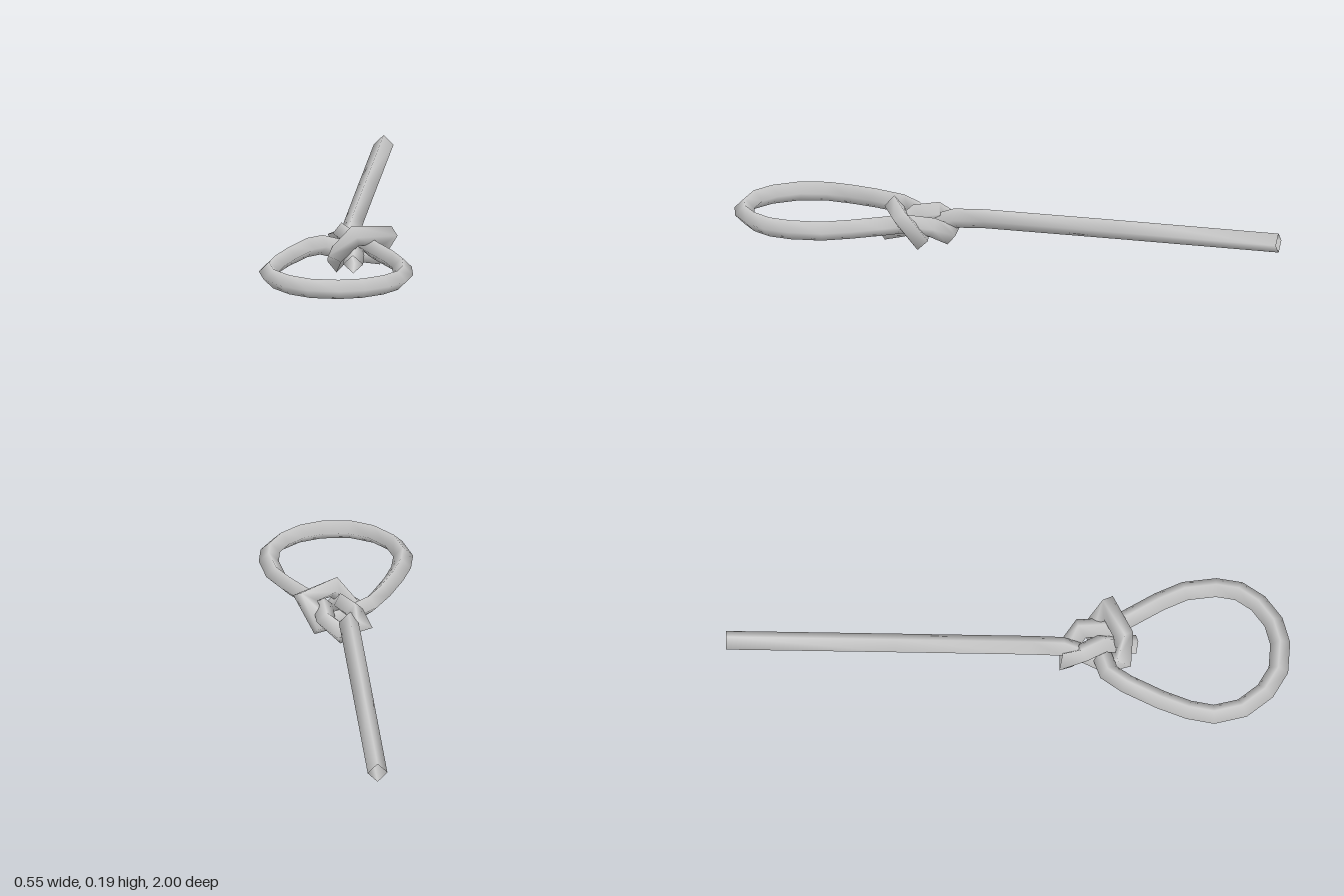
import * as THREE from 'three';

const RADIUS = 0.035;
const SIDES = 4;

// Sweeps a diamond section along a polyline, with mitred corners and open ends.
function ropeGeometry(points) {
  const up = new THREE.Vector3(0, 1, 0);
  const positions = [], indices = [];
  points.forEach((p, i) => {
    const before = points[Math.max(i - 1, 0)], after = points[Math.min(i + 1, points.length - 1)];
    const dirOut = (i < points.length - 1 ? after.clone().sub(p) : p.clone().sub(before)).normalize();
    const dirIn = (i > 0 ? p.clone().sub(before) : dirOut.clone()).normalize();
    const tangent = dirIn.clone().add(dirOut).normalize();
    const side = new THREE.Vector3().crossVectors(up, tangent).normalize();
    const top = new THREE.Vector3().crossVectors(tangent, side);
    const bend = dirOut.clone().sub(dirIn).normalize();
    const stretch = Math.min(1 / Math.max(tangent.dot(dirIn), 0.1), 1.4) - 1;
    for (let k = 0; k < SIDES; k++) {
      const a = (k / SIDES) * Math.PI * 2;
      const v = side.clone().multiplyScalar(Math.cos(a) * RADIUS).addScaledVector(top, Math.sin(a) * RADIUS);
      v.addScaledVector(bend, v.dot(bend) * stretch).add(p);
      positions.push(v.x, v.y, v.z);
      if (i > 0) {
        const n = (k + 1) % SIDES, r0 = (i - 1) * SIDES, r1 = i * SIDES;
        indices.push(r0 + k, r0 + n, r1 + n, r0 + k, r1 + n, r1 + k);
      }
    }
  });
  const geometry = new THREE.BufferGeometry();
  geometry.setAttribute('position', new THREE.Float32BufferAttribute(positions, 3));
  geometry.setIndex(indices);
  geometry.computeVertexNormals();
  return geometry;
}

export function createModel() {
  const group = new THREE.Group();
  group.name = 'bowlineKnot';

  // Long straight end running back from the knot
  const standingEnd = [[0, 0.13, -1], [0, 0.128, -0.4], [0, 0.125, 0.08], [0, 0.118, 0.19]];

  // Turn that grips the other strands: down, up over the front, round the right, back underneath
  const grippingTurn = [
    [-0.015, 0.085, 0.27], [-0.035, 0.044, 0.345], [-0.03, 0.085, 0.405], [0.035, 0.153, 0.405],
    [0.14, 0.142, 0.35], [0.095, 0.062, 0.3], [0.01, 0.075, 0.32],
  ];

  // Large open loop, from its left leg round the front to its right leg
  const loop = [
    [-0.09, 0.105, 0.355], [-0.135, 0.11, 0.42], [-0.19, 0.105, 0.54], [-0.225, 0.1, 0.64],
    [-0.24, 0.098, 0.73], [-0.215, 0.098, 0.83], [-0.15, 0.098, 0.91], [-0.07, 0.098, 0.955],
    [0.03, 0.098, 0.96], [0.11, 0.098, 0.935], [0.18, 0.098, 0.88], [0.225, 0.098, 0.81],
    [0.237, 0.098, 0.73], [0.222, 0.098, 0.62], [0.18, 0.1, 0.53], [0.12, 0.102, 0.43],
  ];

  // Working end: through the turn, behind the standing end and out again
  const workingEnd = [
    [0.078, 0.105, 0.36], [0.075, 0.1, 0.255], [0.025, 0.066, 0.215],
    [-0.045, 0.1, 0.21], [-0.025, 0.128, 0.265], [0.01, 0.125, 0.33], [0.03, 0.075, 0.385], [0.032, 0.06, 0.45],
  ];

  const path = [...standingEnd, ...grippingTurn, ...loop, ...workingEnd].map((p) => new THREE.Vector3(...p));
  const rope = new THREE.Mesh(
    ropeGeometry(path),
    new THREE.MeshStandardMaterial({ color: 0xcccccc, side: THREE.DoubleSide }),
  );
  rope.name = 'rope';
  group.add(rope);
  return group;
}
